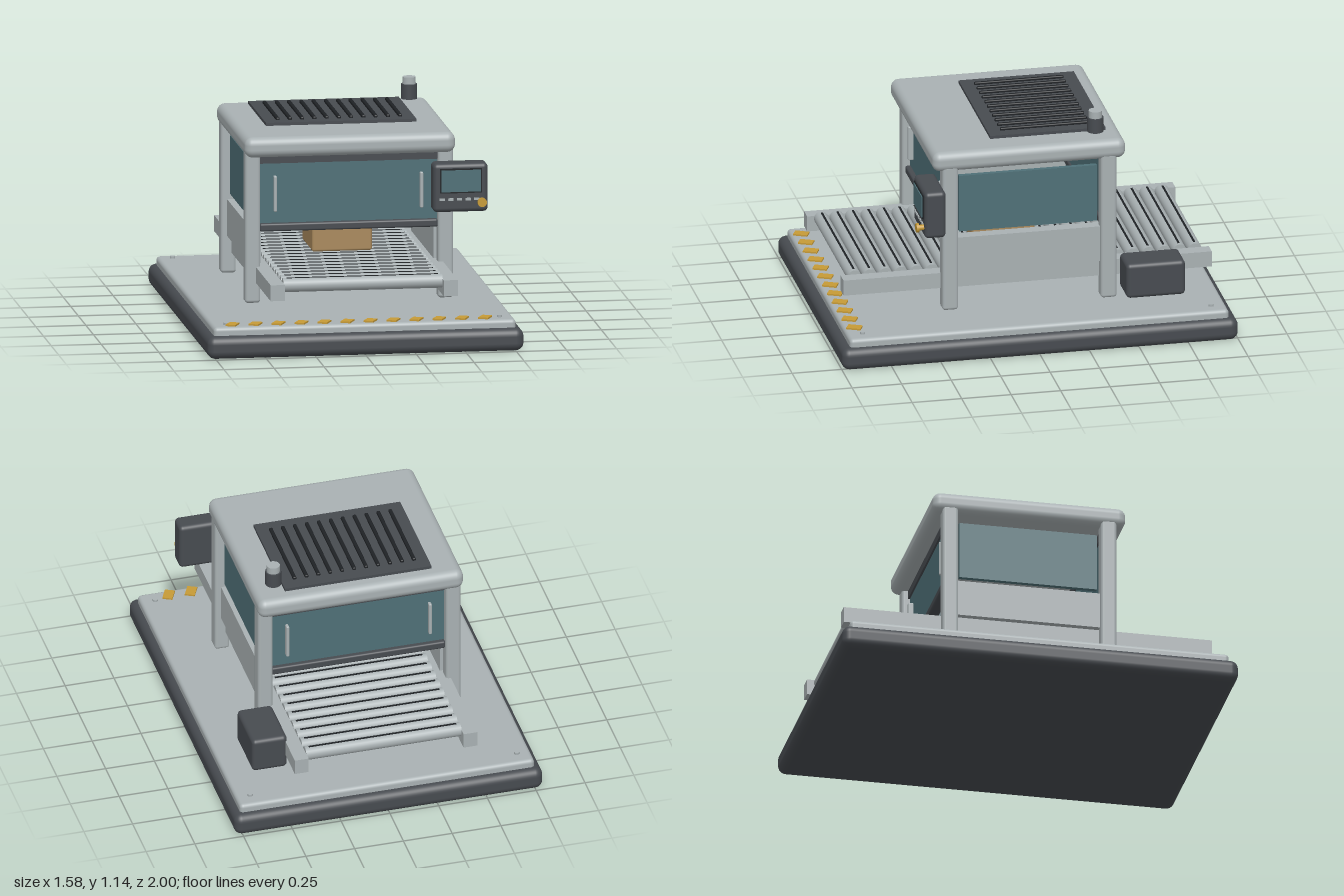
import * as THREE from 'three';
import { RoundedBoxGeometry } from 'three/addons/geometries/RoundedBoxGeometry.js';

const mat = (name, color) => new THREE.MeshStandardMaterial({ name, color });

export function createModel() {
  const root = new THREE.Group();
  root.name = 'conveyorMachine';

  const grey = mat('lightGrey', 0xa9b1b3);
  const dark = mat('darkGrey', 0x474b50);
  const black = mat('black', 0x1f2225);
  const glass = mat('tealGlass', 0x4f7077);
  const gold = mat('hazardGold', 0xc69a36);
  const card = mat('cardboard', 0xa9895c);

  const add = (name, geometry, material, x, y, z) => {
    const mesh = new THREE.Mesh(geometry, material);
    mesh.name = name;
    mesh.position.set(x, y, z);
    root.add(mesh);
    return mesh;
  };
  // Boxes are given by their extents on each axis; r rounds the edges
  const box = (name, material, [x0, x1], [y0, y1], [z0, z1], r = 0) => {
    const size = [x1 - x0, y1 - y0, z1 - z0];
    const geometry = r ? new RoundedBoxGeometry(...size, 4, r) : new THREE.BoxGeometry(...size);
    return add(name, geometry, material, (x0 + x1) / 2, (y0 + y1) / 2, (z0 + z1) / 2);
  };
  const cylinder = (name, material, r, h, x, y, z, sides = 24) =>
    add(name, new THREE.CylinderGeometry(r, r, h, sides), material, x, y, z);
  // Orders a mirrored span so that its low end comes first
  const span = (side, a, b) => (side > 0 ? [a, b] : [-b, -a]);

  // Plinth and deck
  box('base', dark, [-0.79, 0.79], [0, 0.113], [-1, 1], 0.04);
  box('deck', grey, [-0.755, 0.755], [0.09, 0.154], [-0.957, 0.957], 0.02);
  for (const x of [-0.683, 0.683])
    for (const z of [-0.88, 0.88]) cylinder('deckBolt', grey, 0.013, 0.014, x, 0.158, z, 16);

  // Slanted hazard marks along the front edge
  for (let i = 0; i < 12; i++) {
    const mark = add('hazardMark', new THREE.BoxGeometry(0.05, 0.008, 0.072), gold, -0.655 + i * 0.1148, 0.16, 0.905);
    mark.rotation.y = -0.45;
  }

  // Conveyor rails and rollers
  for (const side of [1, -1]) box('conveyorRail', grey, span(side, 0.397, 0.468), [0.275, 0.355], [-0.93, 0.93]);
  for (let i = 0; i < 23; i++) {
    const z = (i - 11) * 0.0782;
    cylinder('roller', grey, 0.035, 0.796, 0, 0.341, z).rotation.z = Math.PI / 2;
    box('rollerStripe', black, [-0.378, 0.378], [0.37, 0.378], [z - 0.005, z + 0.005]);
  }

  // Parcel on the rollers
  box('parcel', card, [-0.152, 0.148], [0.378, 0.572], [-0.105, 0.215], 0.012);

  // Housing frame
  for (const x of [1, -1]) {
    for (const z of [1, -1]) box('leg', grey, span(x, 0.444, 0.52), [0.172, 0.94], span(z, 0.36, 0.44), 0.016);
    box('sidePanel', grey, span(x, 0.43, 0.49), [0.36, 0.545], [-0.37, 0.37]);
    box('sideWindow', glass, span(x, 0.452, 0.476), [0.572, 0.867], [-0.348, 0.348]);
  }
  box('canopy', grey, [-0.526, 0.526], [0.908, 1.01], [-0.487, 0.487], 0.04);
  cylinder('innerBar', grey, 0.021, 0.8, 0, 0.882, -0.04).rotation.z = Math.PI / 2;

  // Front and back doors with handles
  for (const side of [1, -1]) {
    box('doorWindow', glass, [-0.445, 0.445], [0.56, 0.87], span(side, 0.38, 0.4));
    box('doorTopBar', dark, [-0.445, 0.445], [0.867, 0.915], span(side, 0.37, 0.41));
    box('doorBottomBar', dark, [-0.445, 0.445], [0.527, 0.567], span(side, 0.37, 0.425), 0.01);
    for (const x of [-0.367, 0.364])
      box('doorHandle', grey, [x - 0.008, x + 0.008], [0.625, 0.805], span(side, 0.398, 0.428), 0.006);
  }

  // Roof vent and slats
  box('ventPlate', dark, [-0.376, 0.376], [1, 1.025], [-0.412, 0.17]);
  for (let i = -5; i <= 5; i++)
    box('ventSlat', black, [i * 0.0612 - 0.009, i * 0.0612 + 0.009], [1.02, 1.038], [-0.345, 0.106], 0.006);

  // Signal beacon
  cylinder('beaconBase', dark, 0.04, 0.075, 0.419, 1.064, -0.352);
  cylinder('beaconCap', grey, 0.033, 0.04, 0.419, 1.117, -0.352);

  // Drive motor
  box('motorBox', dark, [0.458, 0.638], [0.205, 0.387], [-0.762, -0.465], 0.022);

  // Control panel with screen, keys and stop button
  box('controlPanel', dark, [0.402, 0.675], [0.624, 0.868], [0.455, 0.562], 0.022);
  box('panelBracket', dark, [0.45, 0.51], [0.7, 0.8], [0.43, 0.47]);
  box('screenBezel', black, [0.434, 0.644], [0.721, 0.844], [0.558, 0.567]);
  box('screen', glass, [0.441, 0.638], [0.728, 0.837], [0.566, 0.572]);
  for (let i = 0; i < 5; i++) {
    const x = 0.445 + i * 0.043;
    box('key', grey, [x - 0.013, x + 0.013], [0.684, 0.696], [0.56, 0.568]);
  }
  cylinder('stopStem', gold, 0.014, 0.04, 0.64, 0.677, 0.578).rotation.x = Math.PI / 2;
  cylinder('stopButton', gold, 0.023, 0.014, 0.64, 0.677, 0.594).rotation.x = Math.PI / 2;

  return root;
}
